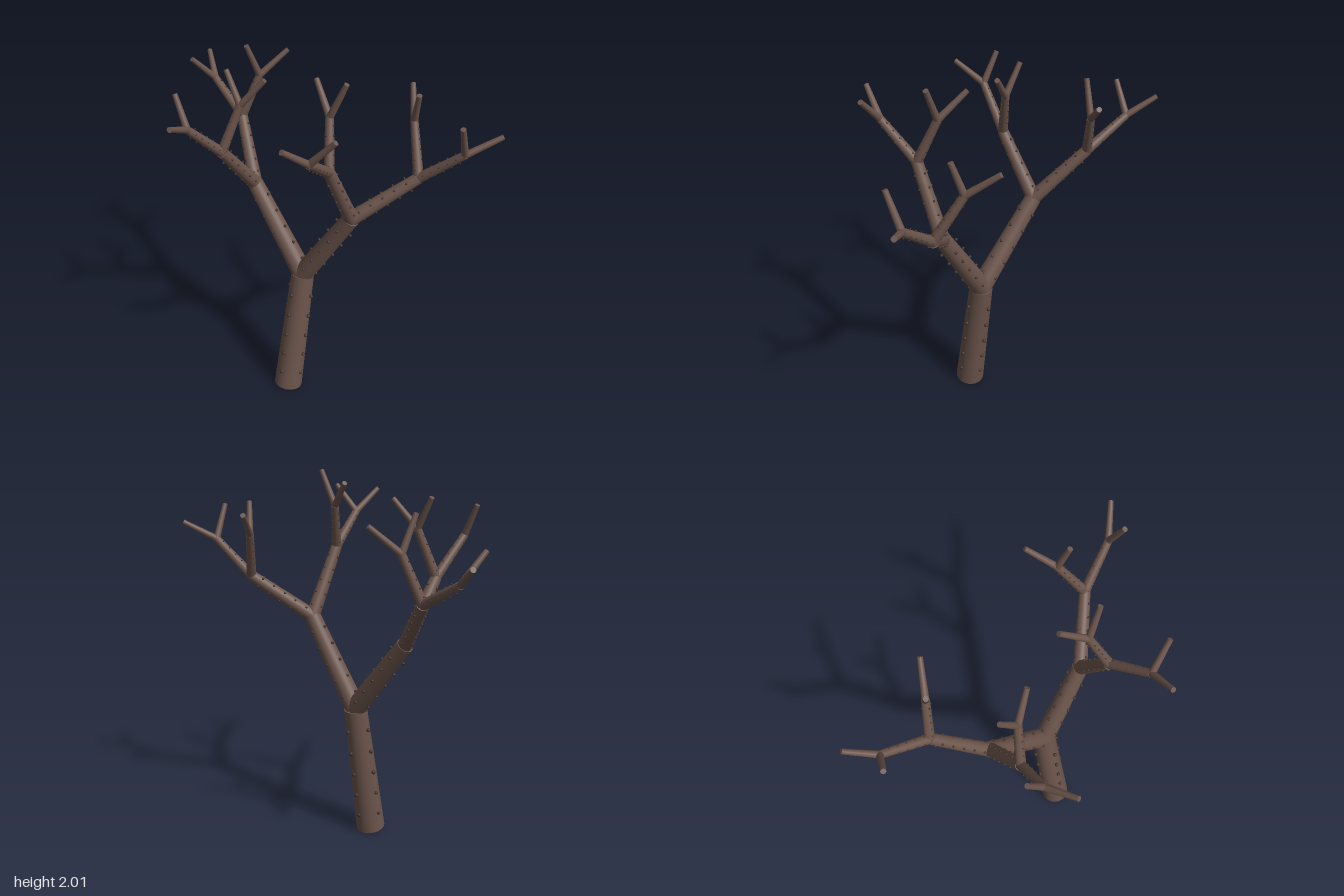
import * as THREE from 'three';

const bark = new THREE.MeshStandardMaterial({ color: 0x6b544b });
const knotBark = new THREE.MeshStandardMaterial({ color: 0x43332f });

// Per level: start radius, end radius, knot radius (0 = smooth twig)
const LEVELS = [
  { name: 'trunk', r0: 0.08, r1: 0.062, knot: 0.011 },
  { name: 'mainBranch', r0: 0.056, r1: 0.043, knot: 0.008 },
  { name: 'branch', r0: 0.038, r1: 0.029, knot: 0.006 },
  { name: 'smallBranch', r0: 0.026, r1: 0.02, knot: 0.004 },
  { name: 'twig', r0: 0.018, r1: 0.013, knot: 0 },
];

// Each fork: end point of the limb, then the limbs growing from it
const tip = (x, y, z) => ({ end: [x, y, z], forks: [] });
const limb = (x, y, z, ...forks) => ({ end: [x, y, z], forks });

const ROOT = [-0.065, 0.012, 0.05];
const TREE = limb(0.048, 0.765, 0.057,
  // front half
  limb(0.085, 1.235, 0.335,
    limb(0.31, 1.46, 0.56,
      limb(0.37, 1.64, 0.76, tip(0.49, 1.73, 0.88), tip(0.29, 1.815, 0.775)),
      limb(0.4, 1.7, 0.45, tip(0.52, 1.82, 0.35), tip(0.36, 1.86, 0.49))),
    limb(-0.1, 1.59, 0.33,
      limb(-0.02, 1.82, 0.26, tip(0, 2, 0.335), tip(0.04, 1.95, 0.13)),
      limb(-0.31, 1.75, 0.38, tip(-0.28, 1.89, 0.5), tip(-0.455, 1.865, 0.35)))),
  // back half
  limb(0.062, 1.195, -0.295,
    limb(0.21, 1.465, -0.52,
      limb(0.25, 1.6, -0.755, tip(0.335, 1.7, -0.88), tip(0.125, 1.74, -0.8)),
      limb(0.28, 1.7, -0.45, tip(0.405, 1.83, -0.36), tip(0.21, 1.88, -0.475))),
    limb(-0.18, 1.495, -0.29,
      limb(-0.37, 1.69, -0.32, tip(-0.53, 1.78, -0.26), tip(-0.36, 1.85, -0.4)),
      limb(-0.1, 1.745, -0.23, tip(-0.04, 1.89, -0.12), tip(-0.095, 1.905, -0.32)))));

// Tapered limb along local y, with rings of knots, aimed from start to end
function makeLimb(start, end, level) {
  const { name, r0, r1, knot } = LEVELS[level];
  const axis = end.clone().sub(start);
  const length = axis.length();
  const group = new THREE.Group();
  group.name = name;

  const wood = new THREE.Mesh(new THREE.CylinderGeometry(r1, r0, length, 24), bark);
  wood.name = name + 'Wood';
  wood.position.y = length / 2;
  group.add(wood);

  // five rings of four bark knots
  if (knot > 0) {
    const ball = new THREE.SphereGeometry(knot, 8, 6);
    for (let ring = 0; ring < 5; ring++) {
      for (let k = 0; k < 4; k++) {
        const a = (k * Math.PI) / 2;
        const bump = new THREE.Mesh(ball, knotBark);
        bump.name = 'barkKnot';
        bump.position.set(
          Math.cos(a) * r0 * 0.96,
          length * (0.15 + 0.175 * ring),
          Math.sin(a) * r0 * 0.96);
        group.add(bump);
      }
    }
  }

  group.position.copy(start);
  group.quaternion.setFromUnitVectors(new THREE.Vector3(0, 1, 0), axis.normalize());
  return group;
}

export function createModel() {
  const model = new THREE.Group();
  model.name = 'bareTree';
  const grow = (start, node, level) => {
    const end = new THREE.Vector3(...node.end);
    model.add(makeLimb(start, end, level));
    node.forks.forEach((fork) => grow(end, fork, level + 1));
  };
  grow(new THREE.Vector3(...ROOT), TREE, 0);
  return model;
}
